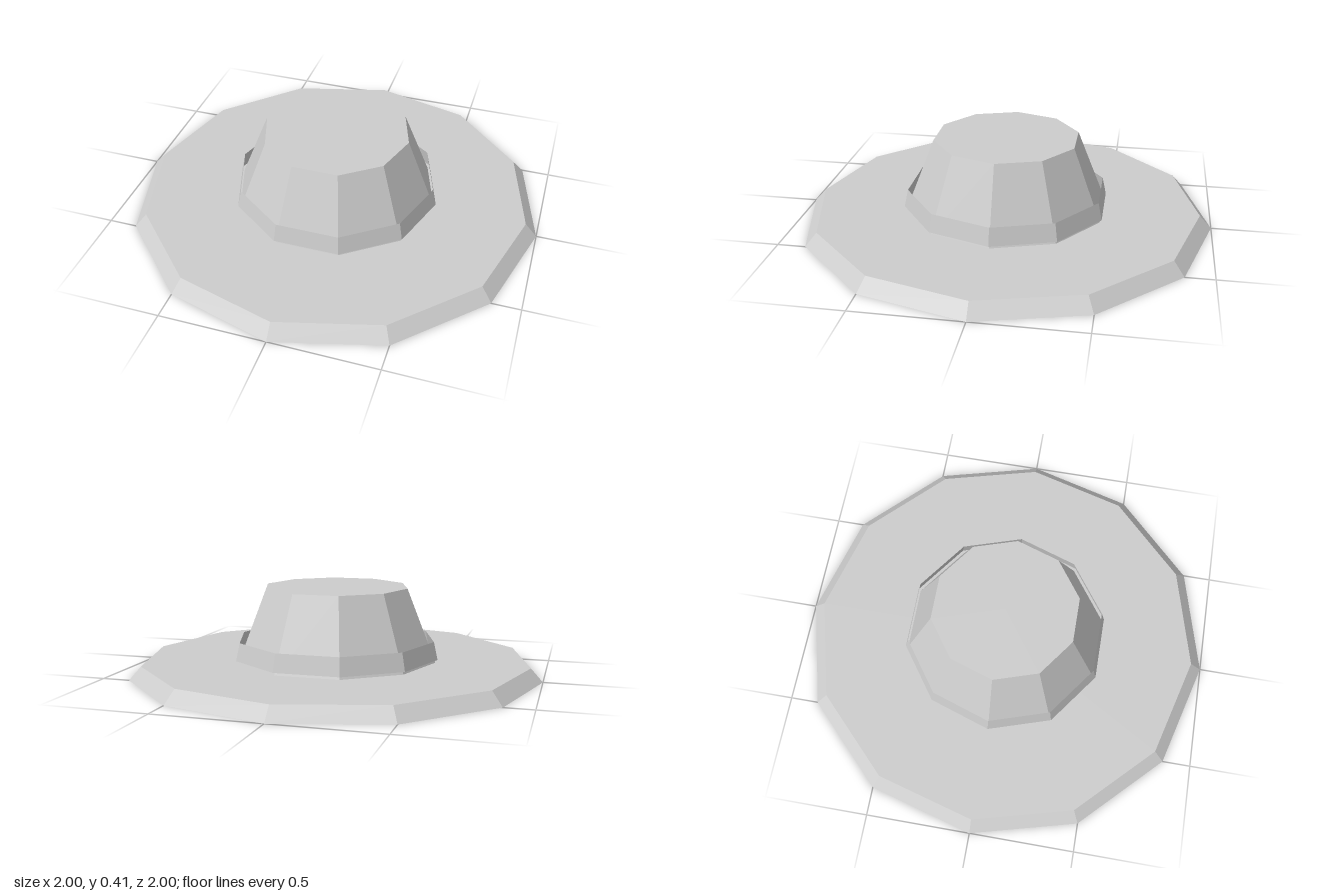
import * as THREE from 'three';

const grey = new THREE.MeshStandardMaterial({ color: 0xcccccc, flatShading: true });
grey.name = 'light grey';
const greyOpen = grey.clone(); // same grey for the open sleeve
greyOpen.name = 'light grey';
greyOpen.side = THREE.DoubleSide;

// Faceted frustum between two heights, with a corner on the x axis
function frustum(name, rTop, rBottom, yBottom, yTop, sides, open = false) {
  const geometry = new THREE.CylinderGeometry(rTop, rBottom, yTop - yBottom, sides, 1, open, Math.PI / 2);
  const mesh = new THREE.Mesh(geometry, open ? greyOpen : grey);
  mesh.name = name;
  mesh.position.y = (yBottom + yTop) / 2;
  return mesh;
}

export function createModel() {
  const hat = new THREE.Group();
  hat.name = 'hat';
  hat.add(
    frustum('brim', 0.943, 1, 0, 0.063, 12),
    frustum('crown', 0.354, 0.5, 0.05, 0.415, 10),
    // Open sleeve around the foot of the crown
    frustum('hatBand', 0.486, 0.505, 0.077, 0.163, 10, true)
  );
  return hat;
}
